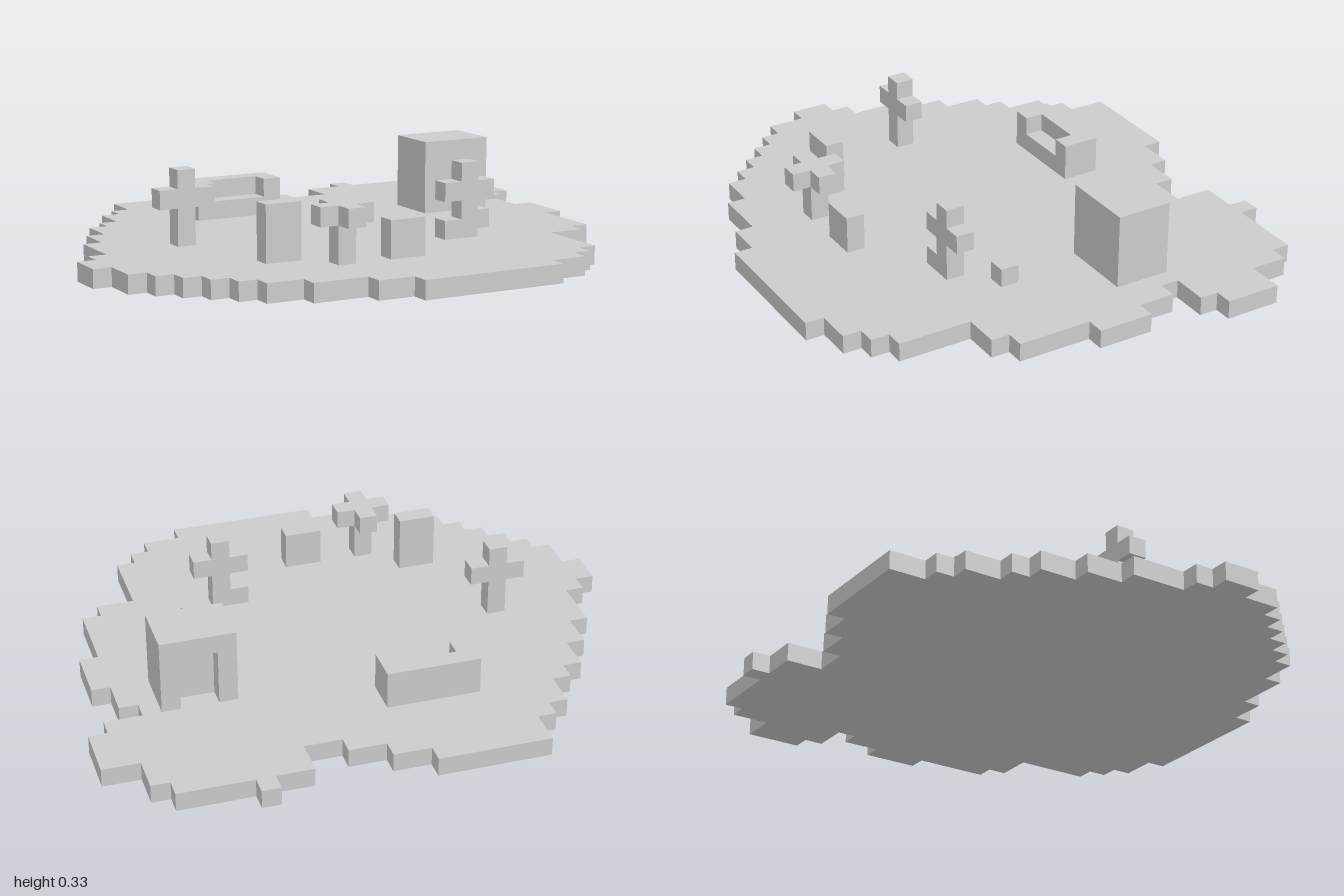
import * as THREE from 'three';

const U = 1 / 15; // one block
const material = new THREE.MeshStandardMaterial({ color: 0xcccccc, flatShading: true });

// Extrude a stepped outline given in blocks
function extrude(points, depth) {
  const shape = new THREE.Shape(points.map(([x, y]) => new THREE.Vector2(x * U, y * U)));
  return new THREE.ExtrudeGeometry(shape, { depth: depth * U, bevelEnabled: false });
}

function add(parent, name, geometry) {
  const mesh = new THREE.Mesh(geometry, material);
  mesh.name = name;
  parent.add(mesh);
  return mesh;
}

// Box between two block corners
function block(parent, name, x0, x1, y0, y1, z0, z1) {
  const mesh = add(parent, name, new THREE.BoxGeometry((x1 - x0) * U, (y1 - y0) * U, (z1 - z0) * U));
  mesh.position.set((x0 + x1) * U / 2, (y0 + y1) * U / 2, (z0 + z1) * U / 2);
  return mesh;
}

// Ground plate: back edge with its notch, then row-by-row right and left edges
function groundGeometry() {
  const outline = [[-7, -13], [-1, -13], [-1, -12], [1, -12], [1, -11], [3, -11], [3, -10],
    [5, -10], [5, -12], [7, -12], [7, -13], [8, -13], [8, -12]];
  // x of each edge for rows z = -12 .. 12
  const right = [12, 13, 13, 15, 15, 15, 14, 12, 13, 13, 14, 14, 14,
    13, 13, 13, 13, 12, 10, 10, 10, 10, 9, 8, 6];
  const left = [-7, -8, -9, -9, -10, -11, -11, -12, -12, -13, -13, -13, -14,
    -15, -15, -14, -14, -13, -12, -11, -10, -9, -7, -4, -2];
  const steps = (xs) => xs.flatMap((x, i) => {
    const pts = [];
    if (i === 0 || xs[i - 1] !== x) pts.push([x, i - 12]);
    if (i === xs.length - 1 || xs[i + 1] !== x) pts.push([x, i - 11]);
    return pts;
  });
  outline.push(...steps(right), ...steps(left).reverse().slice(0, -1));
  return extrude(outline, 1).rotateX(Math.PI / 2).translate(0, U, 0);
}

// Upright cross, one block thick, optionally with a foot on its -x side
function uprightCross(parent, name, x, z, foot) {
  const base = foot ? [[0, 2], [-1, 2], [-1, 1]] : [[0, 1]];
  const outline = [[1, 1], [1, 3], [2, 3], [2, 4], [1, 4], [1, 5], [0, 5], [0, 4],
    [-1, 4], [-1, 3], [0, 3], ...base];
  add(parent, name, extrude(outline, 1)).position.set(x * U, 0, z * U);
}

export function createModel() {
  const model = new THREE.Group();
  model.name = 'blockIsland';
  add(model, 'ground', groundGeometry());

  // Hut with a doorway recess at the back
  const hut = new THREE.Group();
  hut.name = 'hut';
  model.add(hut);
  const hutOutline = [[7, 1], [7, 5], [11, 5], [11, 1], [10, 1], [10, 4], [8, 4], [8, 1]];
  add(hut, 'hutDoorFrame', extrude(hutOutline, 1)).position.z = -5 * U;
  block(hut, 'hutBody', 7, 11, 1, 5, -4, -2);

  // Bench: back and arms around a low seat
  const bench = new THREE.Group();
  bench.name = 'bench';
  model.add(bench);
  block(bench, 'benchBack', -5, 0, 1, 3, -8, -7);
  const seatOutline = [[-5, 1], [0, 1], [0, 3], [-1, 3], [-1, 2], [-4, 2], [-4, 3], [-5, 3]];
  add(bench, 'benchSeat', extrude(seatOutline, 1)).position.z = -7 * U;

  // Upright crosses
  uprightCross(model, 'rightCross', -9, -1, false);
  uprightCross(model, 'leftCross', 5, 4, true);

  // Flat-topped tree
  const tree = new THREE.Group();
  tree.name = 'tree';
  model.add(tree);
  block(tree, 'treeTrunk', -4, -3, 1, 3, 7, 8);
  const crown = [[-4, 6], [-3, 6], [-3, 7], [-2, 7], [-2, 8], [-3, 8],
    [-3, 9], [-4, 9], [-4, 8], [-5, 8], [-5, 7], [-4, 7]];
  add(tree, 'treeCrown', extrude(crown, 1).rotateX(Math.PI / 2)).position.y = 4 * U;

  // Standing slabs and a loose stone
  block(model, 'tallSlab', -7, -5, 1, 4, 5, 6);
  block(model, 'shortSlab', -1, 1, 1, 3, 7, 8);
  block(model, 'stone', 7, 8, 1, 2, 2, 3);

  return model;
}
